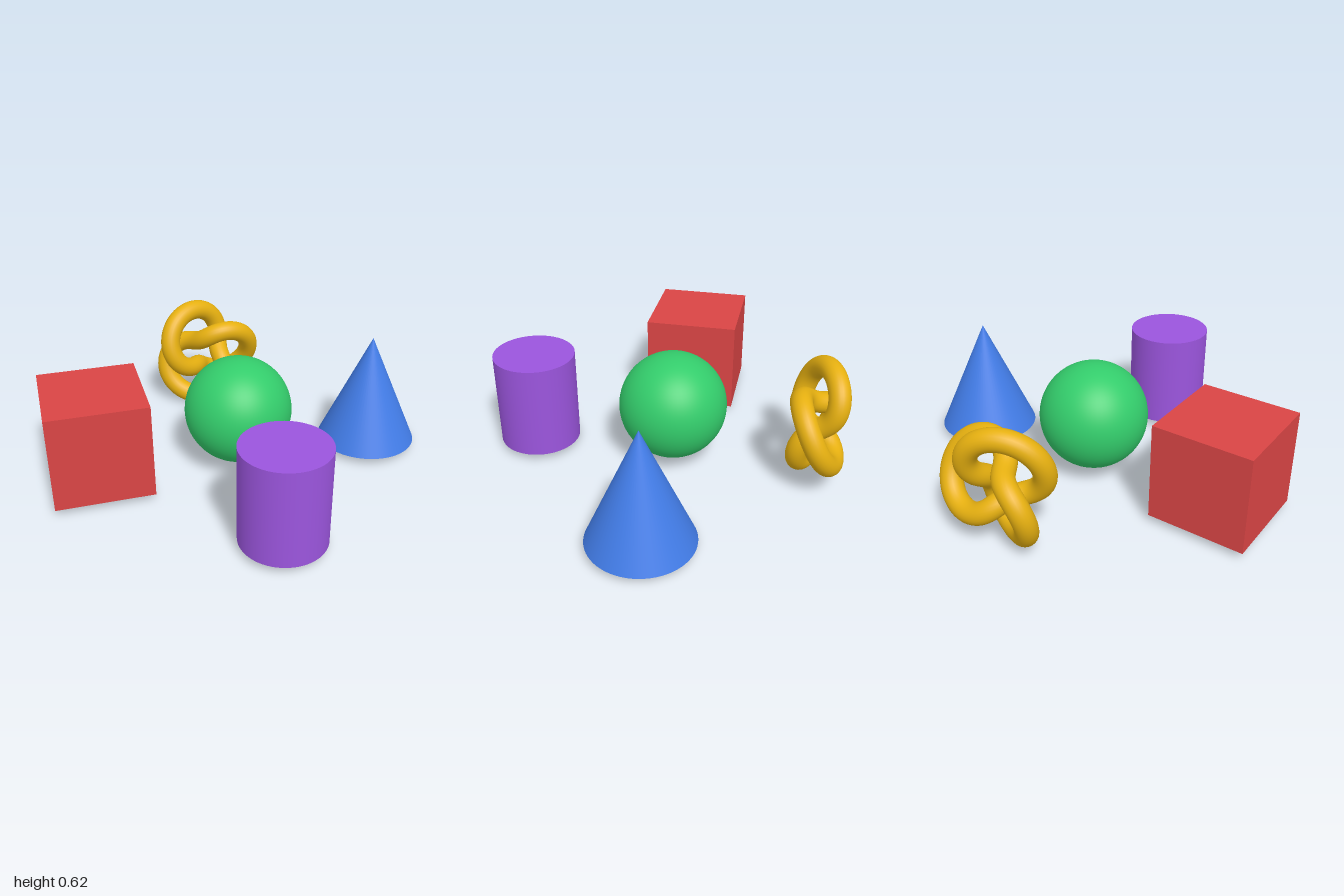
import * as THREE from 'three';

// Five primitive solids arranged in a cross around a central sphere
export function createModel() {
  const group = new THREE.Group();
  const floor = 0.037; // underside of the four resting solids
  const cx = -0.01, cz = -0.037, spacing = 0.743;

  function add(name, geometry, colorName, color, x, y, z) {
    const material = new THREE.MeshStandardMaterial({ color });
    material.name = colorName;
    const mesh = new THREE.Mesh(geometry, material);
    mesh.name = name;
    mesh.position.set(x, y, z);
    group.add(mesh);
  }

  // Cube on the model's right
  const side = 0.495;
  add('cube', new THREE.BoxGeometry(side, side, side), 'red', 0xd94545,
    cx - spacing, floor + side / 2, cz);

  // Sphere in the middle
  const radius = 0.279;
  add('sphere', new THREE.SphereGeometry(radius, 64, 40), 'green', 0x33cc6b,
    cx, floor + radius, cz);

  // Cone on the model's left
  const coneHeight = 0.588;
  add('cone', new THREE.ConeGeometry(0.263, coneHeight, 64), 'blue', 0x4480ee,
    cx + spacing, floor + coneHeight / 2, cz);

  // Cylinder at the front
  add('cylinder', new THREE.CylinderGeometry(0.213, 0.213, side, 64), 'purple', 0x9b55dd,
    cx, floor + side / 2, cz + spacing);

  // Trefoil knot at the back
  add('knot', new THREE.TorusKnotGeometry(0.182, 0.055, 200, 24, 2, 3), 'gold', 0xe6b010,
    cx, 0.313, cz - spacing);

  return group;
}
